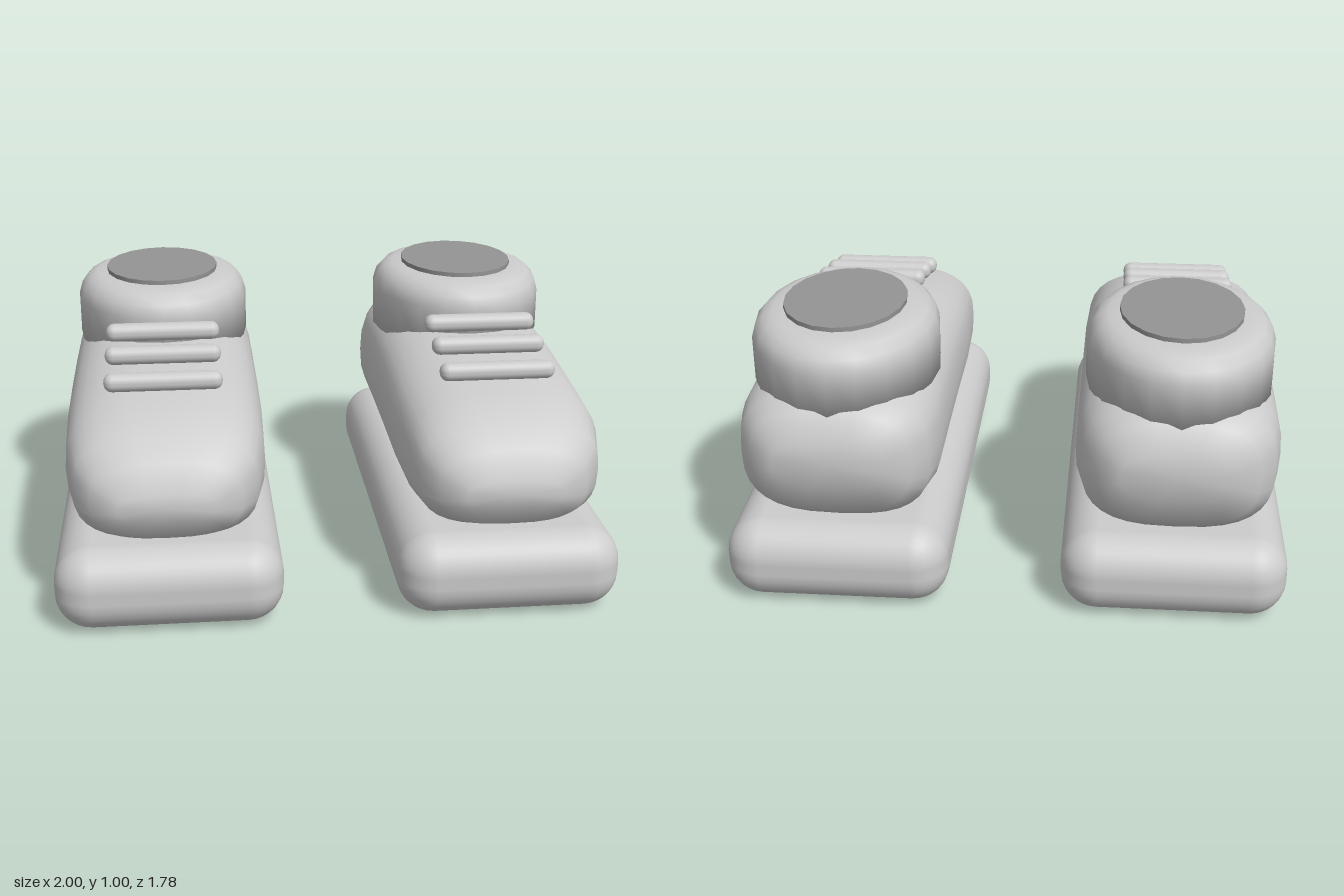
import * as THREE from 'three';
import { RoundedBoxGeometry } from 'three/addons/geometries/RoundedBoxGeometry.js';

// Upper: superellipse cross-sections [z, halfWidth, bottom, top] from toe to heel
const SECTIONS = [
  [0.845, 0.17, 0.41, 0.51], [0.80, 0.26, 0.335, 0.61], [0.72, 0.32, 0.30, 0.68],
  [0.58, 0.35, 0.29, 0.745], [0.3, 0.36, 0.29, 0.77], [0, 0.36, 0.29, 0.80],
  [-0.3, 0.36, 0.29, 0.81], [-0.6, 0.36, 0.29, 0.80], [-0.72, 0.335, 0.30, 0.785],
  [-0.80, 0.28, 0.36, 0.75], [-0.85, 0.20, 0.48, 0.65],
];

function loftGeometry(sections, sides, power) {
  const pos = [], index = [];
  const bend = (v) => Math.sign(v) * Math.pow(Math.abs(v), 2 / power);
  for (const [z, hw, yb, yt] of sections) {
    for (let j = 0; j < sides; j++) {
      const t = (j / sides) * Math.PI * 2;
      pos.push(hw * bend(Math.cos(t)), (yb + yt) / 2 + ((yt - yb) / 2) * bend(Math.sin(t)), z);
    }
  }
  const last = sections.length - 1;
  const front = pos.length / 3, back = front + 1;
  for (const k of [0, last]) {
    const [z, , yb, yt] = sections[k];
    pos.push(0, (yb + yt) / 2, z);
  }
  for (let j = 0; j < sides; j++) {
    const n = (j + 1) % sides;
    for (let i = 0; i < last; i++) {
      const a = i * sides + j, b = i * sides + n, c = a + sides, d = b + sides;
      index.push(a, c, b, b, c, d);
    }
    index.push(front, j, n, back, last * sides + n, last * sides + j);
  }
  const g = new THREE.BufferGeometry();
  g.setAttribute('position', new THREE.Float32BufferAttribute(pos, 3));
  g.setIndex(index);
  g.computeVertexNormals();
  return g;
}

export function createModel() {
  const model = new THREE.Group();
  model.name = 'pairOfShoes';
  const body = new THREE.MeshStandardMaterial({ color: 0xcccccc });
  body.name = 'lightGrey';
  const dark = new THREE.MeshStandardMaterial({ color: 0x949494 });
  dark.name = 'openingGrey';

  const soleGeo = new RoundedBoxGeometry(0.8, 0.3, 1.78, 4, 0.13);
  const upperGeo = loftGeometry(SECTIONS, 32, 2.8);
  const laceGeo = new RoundedBoxGeometry(0.42, 0.065, 0.07, 3, 0.03);

  // Collar: rounded ring profile, stretched along the foot
  const profile = [
    [0, 0.73], [0.335, 0.73], [0.335, 0.89], [0.322, 0.935],
    [0.295, 0.965], [0.26, 0.98], [0.2, 0.985], [0, 0.985],
  ].map(([x, y]) => new THREE.Vector2(x, y));
  const collarGeo = new THREE.LatheGeometry(profile, 20);
  collarGeo.scale(1, 1, 1.265);
  const openingGeo = new THREE.CylinderGeometry(0.22, 0.22, 0.02, 20);
  openingGeo.scale(1, 1, 1.255);

  for (const side of [-1, 1]) {
    const shoe = new THREE.Group();
    shoe.name = side > 0 ? 'leftShoe' : 'rightShoe';
    shoe.position.x = side * 0.6;
    const add = (name, geo, mat, y = 0, z = 0) => {
      const mesh = new THREE.Mesh(geo, mat);
      mesh.name = name;
      mesh.position.set(0, y, z);
      shoe.add(mesh);
    };
    add('sole', soleGeo, body, 0.15);
    add('upper', upperGeo, body);
    add('collar', collarGeo, body, 0, -0.385);
    add('opening', openingGeo, dark, 0.99, -0.385);
    // Laces step up towards the collar
    [[0.79, 0.47], [0.835, 0.3], [0.87, 0.13]].forEach(([y, z], i) => add('lace' + (i + 1), laceGeo, body, y, z));
    model.add(shoe);
  }
  return model;
}
